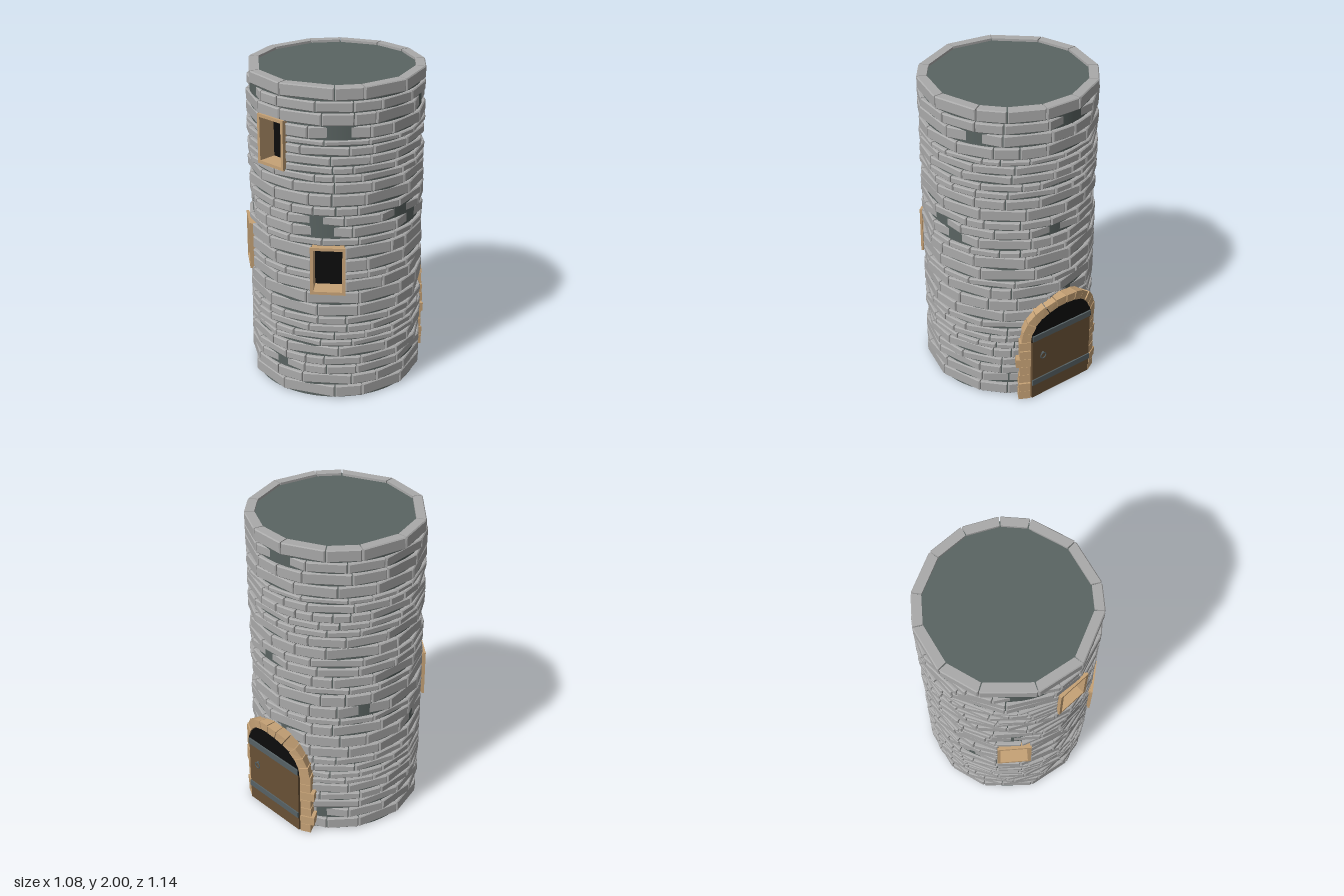
import * as THREE from 'three';
import { mergeGeometries } from 'three/addons/utils/BufferGeometryUtils.js';

const mat = (name, color, side = THREE.FrontSide) => {
  const m = new THREE.MeshStandardMaterial({ color, side });
  m.name = name;
  return m;
};

const R = 0.54, CORE = 0.515, TAU = Math.PI * 2;
const WIN_H = 0.305, WIN_W = 0.21, GAP = 0.185;

// Height of every joint between the courses of stone
const COURSES = [0.005, 0.09, 0.165, 0.23, 0.29, 0.36, 0.405, 0.455, 0.51, 0.565, 0.645, 0.73, 0.81, 0.86, 0.945,
  1.03, 1.08, 1.155, 1.22, 1.28, 1.36, 1.43, 1.48, 1.53, 1.59, 1.65, 1.69, 1.77, 1.85, 1.92, 2.005];
// Joints of the top and bottom course, in degrees from the front
const WIDE = [6.7, 42.6, 61, 92, 123, 142, 166, 191, 220, 242, 273, 300, 335, 366.7].map(d => d * Math.PI / 180);

// Free angular spans of the wall in each band with windows
const WINDOWS = [
  { name: 'upperWindow', angle: 0, y: 1.6325 },
  { name: 'leftWindow', angle: 0.67, y: 0.875 },
  { name: 'rightWindow', angle: -0.67, y: 0.875 },
];
const BANDS = [
  { y0: 0, y1: 0.73 },
  { y0: 0.73, y1: 1.03, spans: [[-0.67 + GAP, 0.67 - GAP], [0.67 + GAP, TAU - 0.67 - GAP]] },
  { y0: 1.03, y1: 1.48 },
  { y0: 1.48, y1: 1.77, spans: [[GAP, TAU - GAP]] },
  { y0: 1.77, y1: 1.985 },
];

let seed = 11;
const rnd = () => (seed = (seed * 16807) % 2147483647) / 2147483647;

// Unit box whose vertices are moved by a rule, with flat faces
function warpBox(rule, depthSegments = 1) {
  const g = new THREE.BoxGeometry(1, 1, 1, 1, 1, depthSegments).toNonIndexed();
  const p = g.attributes.position;
  for (let i = 0; i < p.count; i++) p.setXYZ(i, ...rule(p.getX(i), p.getY(i), p.getZ(i)));
  g.computeVertexNormals();
  return g;
}

// Straight wedge stone with a chamfered face, spanning angles a0 to a1
function brick(a0, a1, y0, y1) {
  const h = (a1 - a0) / 2 - 0.008, w = R * Math.sin(h), d = R * Math.cos(h);
  const rings = [[d - 0.06, w - 0.06 * Math.tan(h), 0], [d - 0.006, w, 0], [d, w - 0.006, 0.006]];
  const cy = (y0 + y1) / 2, hy = (y1 - y0) / 2 - 0.005;
  return warpBox((x, y, z) => {
    const [depth, halfW, inset] = rings[Math.round(z * 2 + 1)];
    return [2 * x * halfW, cy + 2 * y * (hy - inset), depth];
  }, 2).rotateY((a0 + a1) / 2);
}

// Random joints that divide one span
function divide([a, b], average) {
  const n = Math.max(2, Math.round((b - a) / average));
  const widths = Array.from({ length: n }, () => 0.5 + rnd());
  const scale = (b - a) / widths.reduce((s, v) => s + v, 0);
  const joints = [a];
  widths.forEach(v => joints.push(joints[joints.length - 1] + v * scale));
  return joints;
}

// Rectangular surround with an open middle
function surround(w, h, t, depth) {
  const rect = (shape, x, y) => shape.moveTo(-x, -y).lineTo(x, -y).lineTo(x, y).lineTo(-x, y).closePath();
  const s = rect(new THREE.Shape(), w / 2, h / 2);
  s.holes.push(rect(new THREE.Path(), w / 2 - t, h / 2 - t));
  return new THREE.ExtrudeGeometry(s, { depth, bevelEnabled: false });
}

export function createModel() {
  const stone = mat('grey stone', 0xaaaaaa);
  const mortar = mat('dark mortar', 0x5a6462);
  const wood = mat('tan surround', 0xc6a276);
  const doorWood = mat('brown door wood', 0x685035);
  const iron = mat('iron', 0x566164);
  const dark = mat('dark opening', 0x0c0c0c, THREE.DoubleSide);

  const model = new THREE.Group();
  const tower = new THREE.Group();
  tower.name = 'tower';
  tower.position.z = 0.02;
  model.add(tower);
  const add = (parent, name, geo, material, x = 0, y = 0, z = 0) => {
    const m = new THREE.Mesh(geo, material);
    m.name = name;
    m.position.set(x, y, z);
    parent.add(m);
    return m;
  };

  // Courses of stones, broken at the windows
  const bricks = [];
  for (let i = 0; i < COURSES.length - 1; i++) {
    const y0 = COURSES[i], y1 = COURSES[i + 1], mid = (y0 + y1) / 2;
    const band = BANDS.find(b => mid < b.y1) || BANDS[4];
    const start = rnd() * TAU;
    const spans = band.spans || [[start, start + TAU]];
    const ends = i === 0 || i === COURSES.length - 2;
    for (const span of spans) {
      const joints = ends ? WIDE : divide(span, y1 - y0 > 0.063 ? 0.46 : 0.36);
      for (let j = 0; j < joints.length - 1; j++) bricks.push(brick(joints[j], joints[j + 1], y0, y1));
    }
  }
  add(tower, 'stoneCourses', mergeGeometries(bricks), stone);

  // Mortar wall behind the stones, with roof and floor
  const walls = BANDS.flatMap(({ y0, y1, spans = [[0, TAU]] }) => spans.map(([a, b]) =>
    new THREE.CylinderGeometry(CORE, CORE, y1 - y0, Math.ceil((b - a) * 10), 1, true, a, b - a)
      .translate(0, (y0 + y1) / 2, 0)));
  add(tower, 'mortarWall', mergeGeometries(walls), mortar);
  add(tower, 'roof', new THREE.CircleGeometry(CORE, 64).rotateX(-Math.PI / 2), mortar, 0, 1.985, 0);
  add(tower, 'floor', new THREE.CircleGeometry(CORE, 64).rotateX(Math.PI / 2), mortar);

  // Recessed windows
  for (const { name, angle, y } of WINDOWS) {
    const g = new THREE.Group();
    g.name = name;
    g.rotation.y = angle;
    g.position.y = y;
    tower.add(g);
    add(g, 'windowFrame', surround(WIN_W, WIN_H, 0.019, 0.015), wood, 0, 0, 0.535);
    add(g, 'windowLining', surround(WIN_W - 0.016, WIN_H - 0.016, 0.011, 0.1), wood, 0, 0, 0.435);
    add(g, 'windowOpening', new THREE.PlaneGeometry(WIN_W - 0.02, WIN_H - 0.02), dark, 0, 0, 0.437);
  }

  // Arched doorway at the back
  const door = new THREE.Group();
  door.name = 'doorway';
  door.rotation.y = Math.PI;
  tower.add(door);
  const wrap = (x, y, r) => [r * Math.sin(x / R), y, r * Math.cos(x / R)];
  const SPRING = 0.44, IN = 0.225, OUT = 0.285;
  const stones = [];
  const archCount = 12;
  for (let i = 0; i < archCount; i++) {
    const out = OUT - rnd() * 0.008, front = 0.592 - rnd() * 0.008;
    stones.push(warpBox((x, y, z) => {
      const t = Math.PI * (1 - (i + 0.5 + x * 0.93) / archCount);
      const r = y > 0 ? out : IN;
      return wrap(r * Math.cos(t), SPRING + r * Math.sin(t), z > 0 ? front : 0.52);
    }));
  }
  for (const side of [-1, 1]) {
    const n = 7;
    for (let i = 0; i < n; i++) {
      const wide = (i === 4 || (i === 1 && side > 0)) ? 0.025 : rnd() * 0.01;
      const w = OUT - IN + wide, cx = side * (IN + w / 2), h = SPRING / n;
      const front = 0.582 + rnd() * 0.01;
      stones.push(warpBox((x, y, z) =>
        wrap(cx + x * w, (i + 0.5 + y * 0.94) * h, z > 0 ? front : 0.51)));
    }
  }
  add(door, 'doorSurround', mergeGeometries(stones), wood);
  add(door, 'doorPanel', new THREE.BoxGeometry(0.46, 0.465, 0.06), doorWood, 0, 0.2375, 0.515);
  add(door, 'archOpening', new THREE.CircleGeometry(0.24, 32, 0, Math.PI), dark, 0, SPRING, 0.543);
  for (const y of [0.125, 0.465]) add(door, 'ironBand', new THREE.BoxGeometry(0.46, 0.04, 0.012), iron, 0, y, 0.547);
  add(door, 'handleRing', new THREE.TorusGeometry(0.02, 0.004, 6, 16), iron, -0.15, 0.31, 0.552);
  add(door, 'handleBoss', new THREE.SphereGeometry(0.009, 10, 8), iron, -0.15, 0.33, 0.547);

  return model;
}
